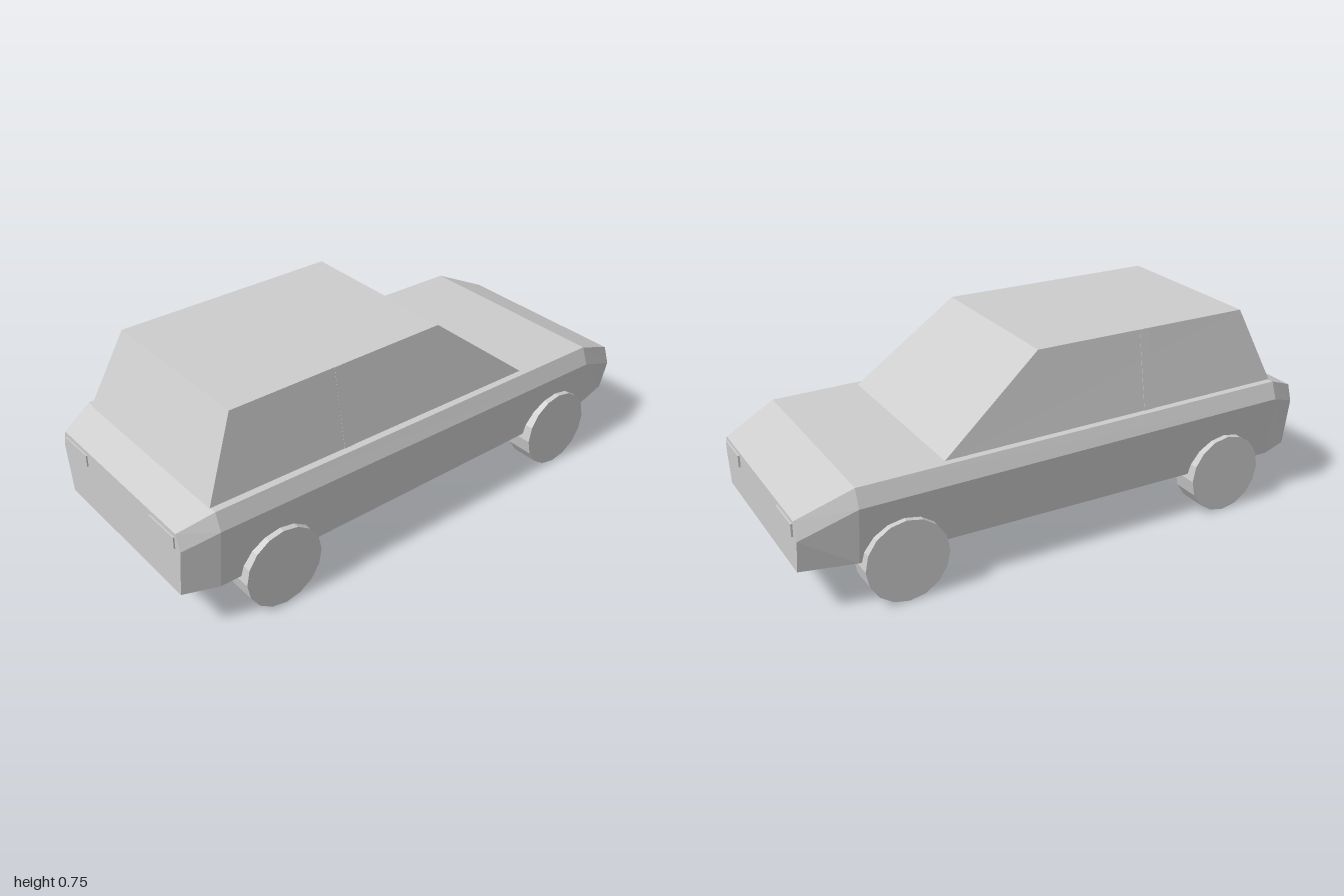
import * as THREE from 'three';

// Joins rings of [x, y, z] points (counter-clockwise about the loft direction) and caps both ends.
function loft(rings) {
  const p = [];
  const tri = (a, b, c) => p.push(...a, ...b, ...c);
  const n = rings[0].length;
  for (let i = 0; i < rings.length - 1; i++) {
    for (let j = 0; j < n; j++) {
      const k = (j + 1) % n;
      const [a, b, c, d] = [rings[i][j], rings[i][k], rings[i + 1][k], rings[i + 1][j]];
      tri(a, b, c);
      tri(a, c, d);
    }
  }
  const first = rings[0], last = rings[rings.length - 1];
  for (let j = 1; j < n - 1; j++) {
    tri(first[0], first[j + 1], first[j]);
    tri(last[0], last[j], last[j + 1]);
  }
  const g = new THREE.BufferGeometry();
  g.setAttribute('position', new THREE.Float32BufferAttribute(p, 3));
  g.computeVertexNormals();
  return g;
}

export function createModel() {
  const car = new THREE.Group();
  car.name = 'car';
  const grey = new THREE.MeshStandardMaterial({ color: 0xcccccc });
  grey.name = 'grey';
  const add = (name, geometry, x = 0, y = 0, z = 0) => {
    const mesh = new THREE.Mesh(geometry, grey);
    mesh.name = name;
    mesh.position.set(x, y, z);
    car.add(mesh);
    return mesh;
  };

  // Body: shoulder, waist and sill at each station, tapering at nose and tail
  const stations = [
    // x, shoulder y, shoulder z, waist y, waist z, sill z
    [-0.995, 0.415, 0.36, 0.355, 0.38, 0.355],
    [-0.875, 0.465, 0.402, 0.402, 0.427, 0.4],
    [0.8, 0.44, 0.402, 0.375, 0.427, 0.4],
    [0.993, 0.353, 0.358, 0.29, 0.38, 0.355],
  ];
  const sill = 0.168;
  add('body', loft(stations.map(([x, sy, sz, wy, wz, bz]) => [
    [x, sy, -sz], [x, sy, sz], [x, wy, wz],
    [x, sill, bz], [x, sill, -bz], [x, wy, -wz],
  ])));

  // Cabin: its base follows the sloping deck
  const frame = (x0, y0, x1, y1, z) => [[x0, y0, z], [x1, y1, z], [x1, y1, -z], [x0, y0, -z]];
  add('cabin', loft([
    frame(-0.882, 0.455, 0.487, 0.437, 0.377),
    frame(-0.755, 0.745, 0.1, 0.745, 0.325),
  ]));

  // Door pillars lying on the leaning cabin sides
  for (const s of [1, -1]) {
    const slab = (y, z) => {
      const [a, b] = [s * z - 0.001, s * z + 0.001];
      return [[-0.35, y, b], [-0.31, y, b], [-0.31, y, a], [-0.35, y, a]];
    };
    add('doorPillar', loft([slab(0.45, 0.377), slab(0.744, 0.325)]));
  }

  // Lamps and wheels, mirrored left and right
  const lamp = new THREE.BoxGeometry(0.008, 0.045, 0.145);
  const wheel = new THREE.CylinderGeometry(0.15, 0.15, 0.104, 16).toNonIndexed();
  wheel.rotateX(Math.PI / 2);
  wheel.computeVertexNormals();
  for (const s of [1, -1]) {
    add('headlamp', lamp, 0.996, 0.318, s * 0.278);
    add('tailLamp', lamp, -0.996, 0.375, s * 0.278);
    add('frontWheel', wheel, 0.645, 0.15, s * 0.385);
    add('rearWheel', wheel, -0.65, 0.15, s * 0.385);
  }
  return car;
}
